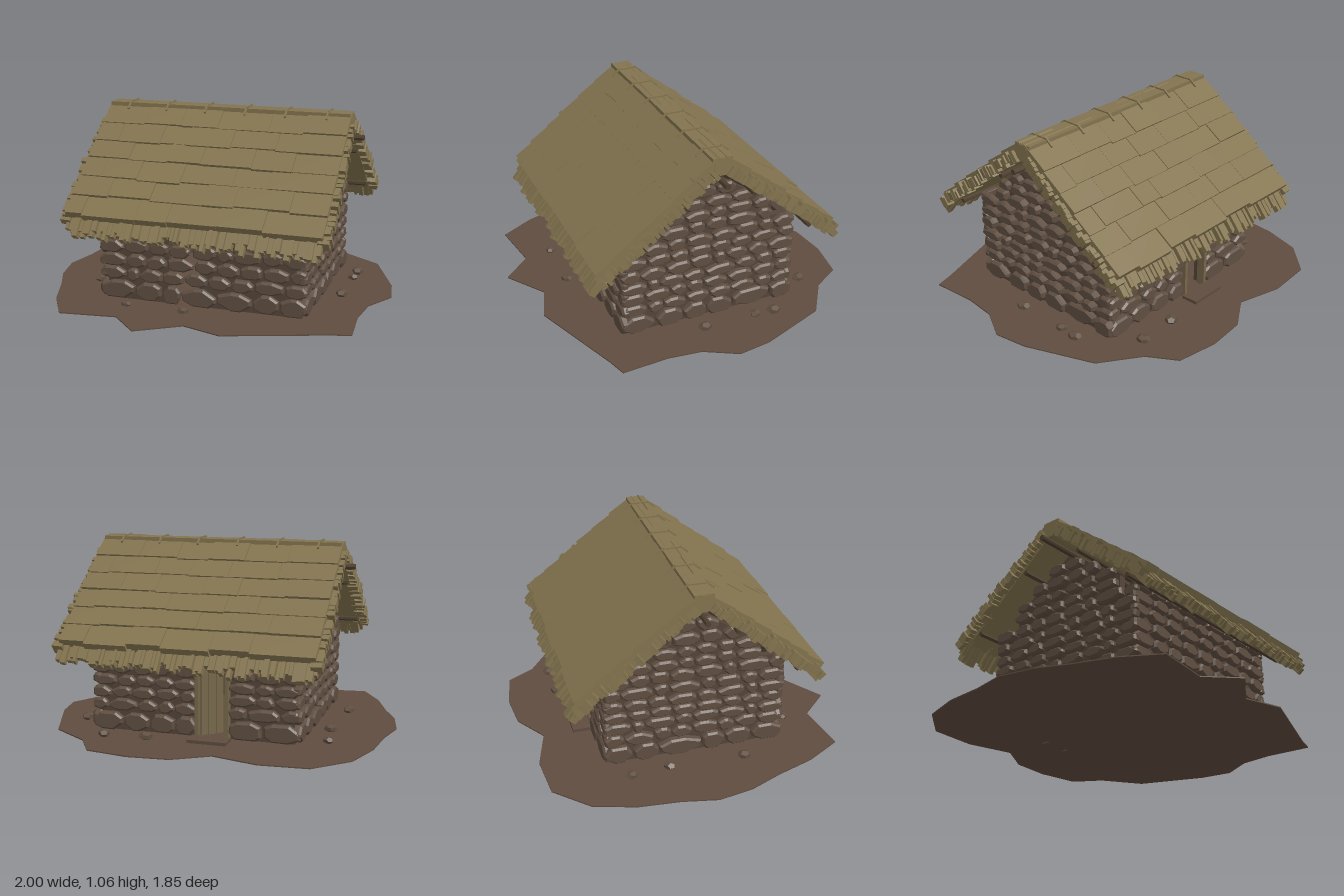
import * as THREE from 'three';
import { mergeGeometries } from 'three/addons/utils/BufferGeometryUtils.js';

const material = (name, color) => Object.assign(new THREE.MeshStandardMaterial({ color }), { name });

// small seeded random
let seed = 7;
const rnd = (a = 0, b = 1) => {
  seed = (seed * 16807) % 2147483647;
  return a + (b - a) * (seed / 2147483647);
};

// box placed by centre, with optional tilt
function box(w, h, d, x, y, z, rx = 0, ry = 0, rz = 0) {
  const g = new THREE.BoxGeometry(w, h, d).toNonIndexed();
  g.rotateX(rx).rotateY(ry).rotateZ(rz).translate(x, y, z);
  return g;
}

// round pole along x with flat sides
function pole(r, len, x, y, z, sides = 8) {
  const g = new THREE.CylinderGeometry(r, r, len, sides).rotateZ(Math.PI / 2).toNonIndexed();
  g.computeVertexNormals();
  return g.translate(x, y, z);
}

// irregular bevelled stone filling a w x h cell, growing along +z
function stone(w, h, x, y) {
  const pts = [];
  const n = 8;
  for (let i = 0; i < n; i++) {
    const a = ((i + 0.5 + rnd(-0.28, 0.28)) / n) * Math.PI * 2;
    const c = Math.cos(a), s = Math.sin(a);
    const k = 1 / Math.pow(Math.abs(c) ** 4 + Math.abs(s) ** 4, 0.25);
    pts.push(new THREE.Vector2(c * k * w * 0.5 * rnd(0.93, 1.03), s * k * h * 0.5 * rnd(0.92, 1)));
  }
  return new THREE.ExtrudeGeometry(new THREE.Shape(pts), {
    depth: rnd(0.018, 0.03), bevelEnabled: true, bevelSegments: 1,
    bevelThickness: 0.012, bevelSize: 0.01, bevelOffset: -0.01,
  }).translate(x, y, 0.008);
}

// courses of stones; spans(y) gives the [from, to] stretches to fill at a height
function stoneCourses(top, spans) {
  const list = [];
  let y = 0.008;
  for (let row = 0; y < top - 0.03; row++) {
    const h = Math.min(row === 0 ? 0.11 : rnd(0.066, 0.084), top - y);
    for (const [a, b] of spans(y + h / 2)) {
      if (b - a < 0.04) continue;
      const n = Math.max(1, Math.round((b - a) / (row === 0 ? 0.17 : 0.13)));
      const cuts = [a];
      for (let i = 1; i < n; i++) cuts.push(a + ((b - a) * (i + rnd(-0.26, 0.26))) / n);
      cuts.push(b);
      for (let i = 0; i < n; i++) {
        const w = cuts[i + 1] - cuts[i];
        list.push(stone(w - 0.007, h - 0.005, (cuts[i] + cuts[i + 1]) / 2, y + h / 2 + rnd(-0.004, 0.004)));
      }
    }
    y += h;
  }
  return mergeGeometries(list);
}

const shape = (pts) => new THREE.Shape(pts.map(([x, y]) => new THREE.Vector2(x, y)));

export function createModel() {
  seed = 7;
  const mats = {
    thatch: material('thatch', 0x83744f),
    stone: material('stone', 0x5f4e41),
    mortar: material('mortar', 0x54453a),
    earth: material('earth', 0x5e4c3e),
    wood: material('dark wood', 0x4f4030),
    plank: material('door plank', 0x76674a),
  };
  const root = new THREE.Group();
  root.name = 'stoneHut';
  const hut = new THREE.Group();
  hut.name = 'hut';
  hut.position.x = 0.035;
  root.add(hut);
  const add = (parent, name, geometry, mat) => {
    const m = new THREE.Mesh(geometry, mat);
    m.name = name;
    parent.add(m);
    return m;
  };

  // irregular earth patch
  const rim = [[-1, 0], [-0.96, -0.2], [-0.94, -0.43], [-0.87, -0.66], [-0.69, -0.84], [-0.42, -0.86], [-0.16, -0.79],
    [0.03, -0.91], [0.26, -0.93], [0.5, -0.89], [0.6, -0.73], [0.82, -0.58], [0.97, -0.2], [1, -0.01], [0.9, 0.17],
    [0.88, 0.36], [0.9, 0.62], [0.79, 0.65], [0.25, 0.84], [0.03, 0.77], [-0.2, 0.92], [-0.36, 0.76], [-0.68, 0.8],
    [-0.8, 0.6], [-0.88, 0.38], [-0.96, 0.2]];
  const patch = new THREE.ExtrudeGeometry(shape(rim.map(([x, z]) => [x, -z])), { depth: 0.006, bevelEnabled: false });
  add(root, 'ground', patch.rotateX(-Math.PI / 2), mats.earth);

  // loose stones around the walls
  const spots = [[-0.37, 0.6], [-0.03, 0.61], [0.73, 0.07], [0.73, -0.24], [0.74, -0.35], [0.51, -0.64],
    [0.27, -0.63], [-0.69, -0.4], [-0.66, -0.18], [-0.68, 0.25]];
  add(root, 'looseStones', mergeGeometries(spots.map(([x, z]) => {
    const r = rnd(0.03, 0.045);
    return new THREE.DodecahedronGeometry(1).scale(r, r * 0.55, r * 0.85).rotateY(rnd(0, 3)).translate(x, 0.006 + r * 0.5, z);
  })), mats.stone);

  // long walls: front covered in stone, back with the doorway
  const door = [0.015, 0.195], doorTop = 0.42;
  for (const back of [false, true]) {
    const wall = new THREE.Group();
    wall.name = back ? 'backWall' : 'frontWall';
    wall.rotation.y = back ? Math.PI : 0;
    hut.add(wall);
    const [a, b] = back ? door : [-door[1], -door[0]];
    const core = shape([[-0.56, 0.004], [a, 0.004], [a, doorTop], [b, doorTop], [b, 0.004], [0.56, 0.004], [0.56, 0.55], [-0.56, 0.55]]);
    const coreGeo = new THREE.ExtrudeGeometry(core, { depth: 0.04, bevelEnabled: false });
    add(wall, 'wallCore', coreGeo.translate(0, 0, 0.44), mats.mortar);
    const stones = stoneCourses(0.56, (y) => (back && y < doorTop ? [[-0.6, a], [b, 0.6]] : [[-0.6, 0.6]]));
    add(wall, 'wallStones', stones.translate(0, 0, 0.472), mats.stone);
  }

  // gable walls, stepped in above the eaves and rising to a point
  const half = (y) => (y < 0.55 ? 0.52 : Math.min(0.38, (0.9 - y) * 1.5));
  for (const side of [1, -1]) {
    const gable = new THREE.Group();
    gable.name = side > 0 ? 'leftGable' : 'rightGable';
    gable.rotation.y = (side * Math.PI) / 2;
    hut.add(gable);
    const core = shape([[-0.48, 0.004], [0.48, 0.004], [0.48, 0.55], [0.38, 0.55], [0.38, 0.64], [0, 0.895], [-0.38, 0.64], [-0.38, 0.55], [-0.48, 0.55]]);
    const coreGeo = new THREE.ExtrudeGeometry(core, { depth: 0.04, bevelEnabled: false });
    add(gable, 'gableCore', coreGeo.translate(0, 0, 0.52), mats.mortar);
    const stones = stoneCourses(0.88, (y) => [[-half(y), half(y)]]);
    add(gable, 'gableStones', stones.translate(0, 0, 0.554), mats.stone);
  }

  // doorway: posts, lintel, step and a plank door standing ajar
  const doorway = new THREE.Group();
  doorway.name = 'doorway';
  doorway.position.set(-0.105, 0, -0.5);
  hut.add(doorway);
  add(doorway, 'doorFrame', mergeGeometries([
    box(0.02, 0.42, 0.05, -0.085, 0.21, 0), box(0.02, 0.42, 0.05, 0.085, 0.21, 0),
    box(0.24, 0.03, 0.06, 0, 0.425, -0.005),
  ]), mats.plank);
  add(doorway, 'doorStep', box(0.22, 0.018, 0.1, 0, 0.015, -0.07), mats.earth);
  const leaf = add(doorway, 'doorLeaf', mergeGeometries([0, 1, 2].map((i) =>
    box(0.044, rnd(0.36, 0.39), 0.014, -0.025 - i * 0.047, 0.205, rnd(-0.003, 0.003)))), mats.plank);
  leaf.position.set(0.072, 0, 0.01);
  leaf.rotation.y = 0.85;

  // two thatched slopes built from overlapping courses, local z running down the slope
  const L = 0.715, pitch = 0.668;
  for (const back of [false, true]) {
    const turn = new THREE.Group();
    turn.name = back ? 'backRoof' : 'frontRoof';
    turn.rotation.y = back ? Math.PI : 0;
    hut.add(turn);
    const slope = new THREE.Group();
    slope.name = 'slope';
    slope.position.set(0, 1.05, 0.04);
    slope.rotation.x = pitch;
    turn.add(slope);
    add(slope, 'roofBase', box(2 * L - 0.02, 0.05, 0.83, 0, -0.06, 0.405), mats.thatch);

    const courses = [], rows = 6, step = 0.8 / rows;
    for (let r = 0; r < rows; r++) {
      const n = 6, shift = r % 2 ? 0.5 : 0;
      let x0 = -L;
      for (let i = 1; i <= n; i++) {
        const x1 = i === n ? L : -L + (2 * L * (i - shift + rnd(-0.22, 0.22))) / n;
        courses.push(box(x1 - x0 - 0.002, 0.04, step + 0.045, (x0 + x1) / 2, -0.021 + rnd(-0.004, 0.004),
          (r + 0.5) * step + 0.01 + rnd(-0.008, 0.008), -0.07));
        x0 = x1;
      }
    }
    add(slope, 'thatchCourses', mergeGeometries(courses), mats.thatch);

    // ragged straw bundles drooping from the eave and poking out at the verges
    const straw = [];
    for (let x = -L + 0.01; x < L; x += rnd(0.016, 0.026)) {
      const len = rnd(0.1, 0.16);
      straw.push(box(rnd(0.014, 0.03), rnd(0.03, 0.05), len, x, -0.06 + rnd(-0.02, 0.008), 0.78 + len / 2, 0.22));
    }
    for (const s of [1, -1]) {
      for (let z = 0.06; z < 0.86; z += rnd(0.022, 0.034)) {
        const out = rnd(0.01, 0.022) + 0.018 * Math.min(1, z * 2);
        straw.push(box(0.06, rnd(0.04, 0.07), rnd(0.018, 0.034), s * (L - 0.03 + out), -0.05 + rnd(-0.014, 0.01), z, 0, rnd(-0.1, 0.1)));
      }
    }
    add(slope, 'strawEnds', mergeGeometries(straw), mats.thatch);

    // purlins below the thatch
    add(slope, 'purlins', mergeGeometries([0.28, 0.72].map((z) => pole(0.014, 1.4, 0, -0.1, z, 6))), mats.wood);
  }

  // ridge roll, its flat cap, binding ties and the pole beneath
  add(hut, 'ridgeRoll', pole(0.05, 2 * L, 0, 1, 0, 10), mats.thatch);
  add(hut, 'ridgeCap', box(2 * L - 0.01, 0.03, 0.11, 0, 1.036, 0), mats.thatch);
  const ties = [];
  for (let i = 0; i < 6; i++) {
    const x = -0.585 + i * 0.234;
    ties.push(box(0.01, 0.01, 0.11, x, 1.054, 0));
    for (const s of [1, -1]) ties.push(box(0.01, 0.01, 0.06, x, 1.04, s * 0.07, s * pitch));
  }
  add(hut, 'ridgeTies', mergeGeometries(ties), mats.thatch);
  add(hut, 'ridgePole', pole(0.016, 1.56, 0, 0.915, 0), mats.wood);

  return root;
}
